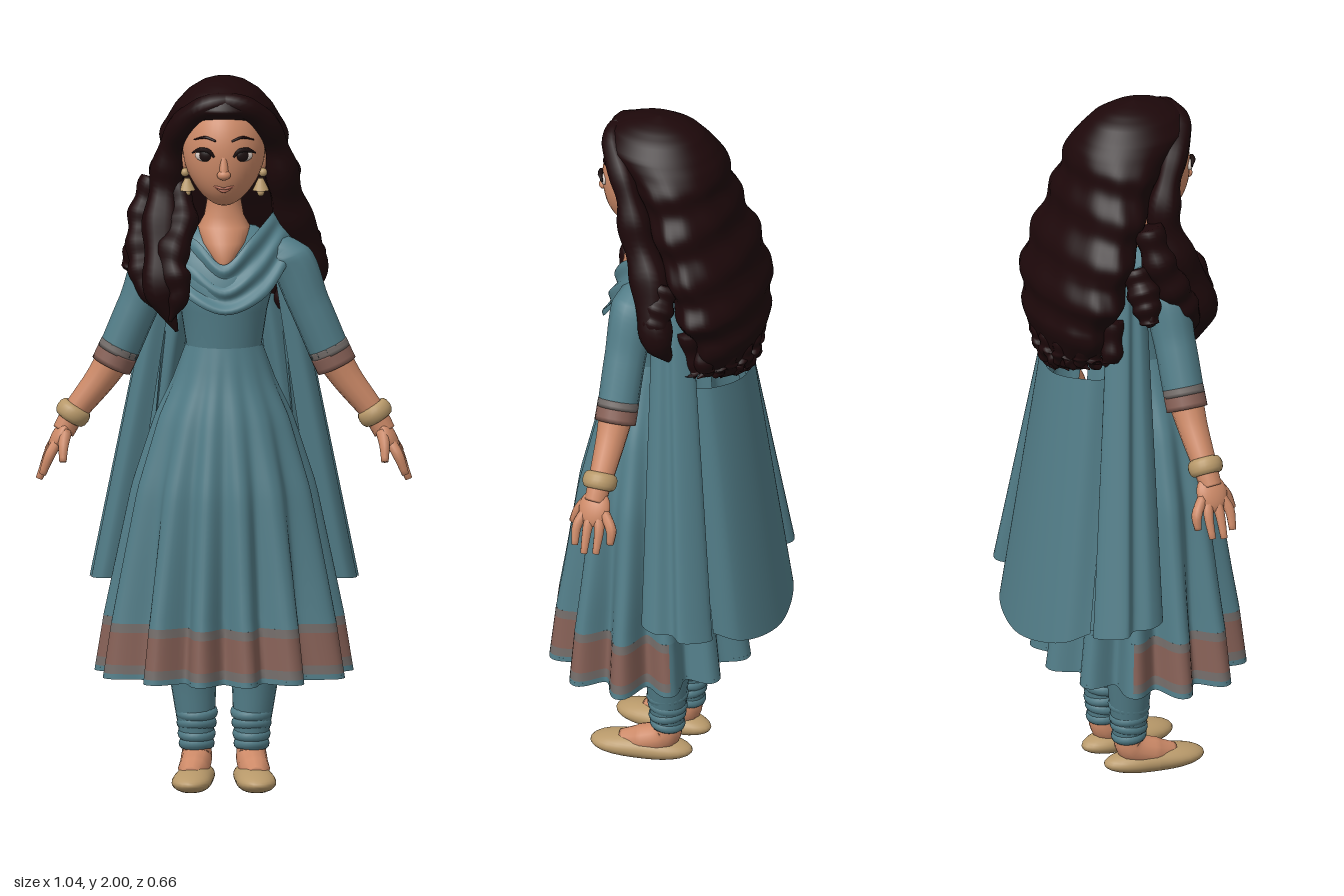
import * as THREE from 'three';

const mat = (name, color, side = THREE.FrontSide) => {
  const m = new THREE.MeshStandardMaterial({ color, side });
  m.name = name;
  return m;
};
const V = (x, y, z) => new THREE.Vector3(x, y, z);

// Skin a list of cross-sections (bottom to top, counter-clockwise from above)
function loft(rings, closed = true) {
  const n = rings[0].length, pos = [], idx = [];
  rings.forEach(r => r.forEach(p => pos.push(p.x, p.y, p.z)));
  for (let i = 0; i < rings.length - 1; i++)
    for (let j = 0; j < (closed ? n : n - 1); j++) {
      const k = (j + 1) % n, a = i * n, b = a + n;
      idx.push(a + j, a + k, b + j, a + k, b + k, b + j);
    }
  const g = new THREE.BufferGeometry();
  g.setAttribute('position', new THREE.Float32BufferAttribute(pos, 3));
  g.setIndex(idx);
  g.computeVertexNormals();
  return g;
}

// Linear lookup in a table whose first column is ascending
function sample(table, y) {
  let i = 0;
  while (i < table.length - 2 && y > table[i + 1][0]) i++;
  const a = table[i], b = table[i + 1], t = Math.min(1, Math.max(0, (y - a[0]) / (b[0] - a[0])));
  return a.map((v, k) => v + (b[k] - v) * t);
}

// Closed body from rows of [y, halfWidth, halfDepth, centreZ]
function body(rows, sides = 32) {
  const rings = rows.map(([y, w, d, z]) => Array.from({ length: sides }, (_, j) => {
    const a = j / sides * Math.PI * 2;
    return V(Math.sin(a) * w, y, z + Math.cos(a) * d);
  }));
  return loft(rings);
}

// Tapered tube along a curve, with optional ripples in its thickness
function tube(points, radii, sides = 12, seg = 24, ripple = 0) {
  const curve = new THREE.CatmullRomCurve3(points.map(p => V(...p)));
  const fr = curve.computeFrenetFrames(seg), rings = [];
  for (let i = 0; i <= seg; i++) {
    const t = i / seg, f = t * (radii.length - 1), k = Math.min(radii.length - 2, Math.floor(f));
    const r = (radii[k] + (radii[k + 1] - radii[k]) * (f - k)) * (1 + ripple * Math.sin(t * 32));
    const c = curve.getPoint(t);
    const ring = s => Array.from({ length: sides }, (_, j) => {
      const a = j / sides * Math.PI * 2;
      return c.clone().addScaledVector(fr.normals[i], Math.cos(a) * r * s).addScaledVector(fr.binormals[i], Math.sin(a) * r * s);
    });
    if (i === 0) rings.push(ring(0));
    rings.push(ring(1));
    if (i === seg) rings.push(ring(0));
  }
  return loft(rings);
}

const ball = (x, y, z, sx, sy, sz) => new THREE.SphereGeometry(1, 24, 16).scale(sx, sy, sz).translate(x, y, z);

export function createModel() {
  const root = new THREE.Group();
  const skin = mat('skin', 0xcd8a68), hair = mat('hair', 0x1d080a), gold = mat('gold', 0xb8996a);
  const cloth = mat('cloth', 0x527d88, THREE.DoubleSide), band = mat('border', 0x866056, THREE.DoubleSide);
  const trim = mat('borderEdge', 0x736c69, THREE.DoubleSide);
  const white = mat('eyeWhite', 0xd8ccc4), dark = mat('iris', 0x1c1010), lip = mat('lips', 0xb06854);
  const add = (name, geo, m) => {
    const mesh = new THREE.Mesh(geo, m);
    mesh.name = name;
    root.add(mesh);
    return mesh;
  };

  // Bodice, neck and upper chest
  add('bodice', body([[1.2, .11, .095, .055], [1.25, .105, .095, .055], [1.35, .12, .105, .06], [1.42, .138, .108, .06],
    [1.49, .155, .09, .045], [1.54, .145, .068, .035], [1.575, .09, .045, .03], [1.585, 0, 0, .03]]), cloth);
  add('neck', body([[1.47, .01, .01, .13], [1.5, .035, .04, .105], [1.54, .062, .062, .075], [1.58, .072, .055, .055],
    [1.61, .055, .05, .05], [1.65, .048, .048, .05], [1.74, .05, .05, .045]]), skin);

  // Pleated skirt with a border that fades out at the back; pleats are unevenly spaced
  const flare = [[.325, .358, .28, .048], [.48, .333, .26, .05], [.6, .308, .24, .05], [.85, .255, .2, .053],
    [1.05, .19, .148, .056], [1.15, .142, .118, .056], [1.25, .105, .097, .055]];
  const pleats = [[0, 0], [.19, .5], [.39, 1], [.6, 1.5], [.88, 2], [1.16, 2.5], [1.43, 3], [1.7, 3.5], [1.95, 4], [2.2, 4.5], [2.43, 5], [2.9, 6], [Math.PI, 6.5]];
  const skirtPoint = (y, a, k = 1) => {
    const [, w, d, z] = sample(flare, y), t = Math.min(1, (1.25 - y) / .75);
    const turn = Math.abs(Math.atan2(Math.sin(a), Math.cos(a))), wave = (1 + Math.cos(sample(pleats, turn)[1] * Math.PI * 2)) / 2;
    const r = k * (1.01 - .22 * t * Math.pow(wave, 1.3));
    return V(Math.sin(a) * w * r, y, z + Math.cos(a) * d * r);
  };
  const skirtPatch = (name, y0, y1, a0, a1, rows, m) => {
    const rings = [], n = Math.ceil((a1 - a0) * 32);
    for (let i = 0; i <= rows; i++)
      rings.push(Array.from({ length: n + 1 }, (_, j) => skirtPoint(y0 + (y1 - y0) * i / rows, a0 + (a1 - a0) * j / n)));
    add(name, loft(rings, false), m);
  };
  const A = 2.2, P = Math.PI;
  skirtPatch('skirt', .48, 1.25, -P, P, 24, cloth);
  skirtPatch('skirtBackHem', .325, .48, A, 2 * P - A, 4, cloth);
  [[.325, .34, cloth], [.34, .365, trim], [.365, .455, band], [.455, .48, trim]].forEach(([a, b, m], i) =>
    skirtPatch('hemBand' + i, a, b, -A, A, 2, m));
  add('skirtUnderside', loft([1, 0].map(k => Array.from({ length: 200 }, (_, j) => skirtPoint(.335, j / 100 * P, k)))), cloth);

  // Draped scarf across the chest
  const upper = [[-.13, 1.54, -.08], [-.14, 1.565, .0], [-.075, 1.545, .095], [.0, 1.485, .148], [.075, 1.555, .11], [.135, 1.612, .02], [.12, 1.58, -.08]];
  const lower = [[-.17, 1.42, -.09], [-.18, 1.48, .03], [-.105, 1.395, .15], [.005, 1.35, .182], [.115, 1.395, .15], [.205, 1.52, .03], [.19, 1.42, -.09]];
  const folds = [];
  for (let i = 0; i <= 24; i++) {
    const v = i / 24, c = new THREE.CatmullRomCurve3(lower.map((p, k) => V(...p).lerp(V(...upper[k]), v)));
    folds.push(c.getPoints(40).map((p, j) => {
      const mid = Math.sin(j / 40 * P);
      return p.add(V(0, -.03 * v * (1 - v) * mid, .004 + .008 * Math.sin(v * 5 * P) * mid));
    }));
  }
  add('scarfCowl', loft(folds, false), cloth);

  // Scarf hanging behind: centre panel and folded side panels
  const sheet = (name, low, high, rows = 16) => {
    const rings = [];
    for (let i = 0; i <= rows; i++)
      rings.push(new THREE.CatmullRomCurve3(low.map((p, k) => V(...p).lerp(V(...high[k]), i / rows))).getPoints(48));
    add(name, loft(rings, false), cloth);
  };
  sheet('scarfBack', [[.23, .52, -.22], [.19, .49, -.285], [0, .455, -.33], [-.19, .49, -.285], [-.23, .52, -.22]],
    [[.17, 1.25, -.12], [.14, 1.25, -.18], [0, 1.23, -.225], [-.14, 1.25, -.18], [-.17, 1.25, -.12]]);
  for (const s of [1, -1]) {
    const side = s > 0 ? 'left' : 'right';
    const m = pts => pts.map(([x, y, z]) => [x * s, y, z]);
    sheet(side + 'ScarfPanel',
      m([[.27, .57, -.07], [.34, .57, -.05], [.368, .565, -.1], [.35, .56, -.145], [.373, .555, -.178], [.3, .54, -.245], [.24, .53, -.2], [.2, .52, -.26]]),
      m([[.13, 1.5, -.01], [.16, 1.51, -.01], [.183, 1.5, -.04], [.178, 1.5, -.06], [.185, 1.5, -.08], [.15, 1.5, -.12], [.1, 1.5, -.1], [.07, 1.5, -.13]]));

    // Arms
    add(side + 'Sleeve', tube(m([[.11, 1.5, .03], [.175, 1.49, .035], [.235, 1.36, .04], [.292, 1.225, .04]]), [.05, .066, .058, .057]), cloth);
    add(side + 'CuffEdge', tube(m([[.286, 1.24, .04], [.296, 1.219, .04]]), [.0575, .0577], 20, 3), trim);
    add(side + 'Cuff', tube(m([[.294, 1.222, .04], [.312, 1.184, .04]]), [.0577, .058], 20, 4), band);
    add(side + 'Forearm', tube(m([[.29, 1.23, .04], [.34, 1.15, .04], [.42, 1.045, .042], [.445, 1.0, .045]]), [.052, .043, .033, .031]), skin);
    const bangle = add(side + 'Bangle', new THREE.TorusGeometry(.034, .015, 12, 28).scale(1, 1, 1.6), gold);
    bangle.position.set(.418 * s, 1.052, .042);
    bangle.lookAt(.5 * s, .92, .042);

    // Hand
    const palm = add(side + 'Palm', ball(0, 0, 0, .023, .054, .045), skin);
    palm.position.set(.455 * s, .985, .043);
    palm.rotation.z = .5 * s;
    [[-.018, .9, .49], [.018, .872, .508], [.052, .868, .512], [.083, .885, .503]].forEach(([z, y, x], i) =>
      add(side + 'Finger' + i, tube(m([[.458, .98, .04 + (z - .035) * .5], [.482, .94, z], [x, y, z]]), [.015, .015, .01], 8, 8), skin));
    add(side + 'Thumb', tube(m([[.44, 1.0, .065], [.445, .965, .095], [.446, .925, .112]]), [.019, .014, .01], 8, 8), skin);

    // Legs with gathered ankles, feet and shoes
    add(side + 'Leg', tube(m([[.075, .1, -.02], [.077, .16, -.02], [.085, .3, -.022], [.085, .36, -.02]]), [.044, .05, .066, .068], 20), cloth);
    [.112, .14, .17, .2].forEach((y, i) => add(side + 'AnkleFold' + i,
      new THREE.TorusGeometry(.038 + i * .003, .012, 10, 24).scale(1, 1, 1.3).rotateX(P / 2 + .24 * (i % 2 - .5)).translate(.076 * s, y, -.02), cloth));
    add(side + 'Foot', tube(m([[.075, .13, -.022], [.076, .075, -.015], [.085, .047, .05], [.092, .035, .11]]), [.037, .043, .043, .03]), skin);
    const shoe = new THREE.SphereGeometry(1, 28, 20), p = shoe.attributes.position;
    for (let i = 0; i < p.count; i++) {
      const z = p.getZ(i), waist = 1 - .12 * Math.cos(z * 3);
      p.setXYZ(i, p.getX(i) * .06 * waist * (1 + .12 * z), Math.max(-.027, p.getY(i) * .036), z * .146);
    }
    shoe.computeVertexNormals();
    const shoeMesh = add(side + 'Shoe', shoe, gold);
    shoeMesh.position.set(.082 * s, .027, .055);
    shoeMesh.rotation.y = .12 * s;

    // Eyes, brows, ears and earrings
    const eye = new THREE.Group();
    eye.name = side + 'Eye';
    eye.position.set(.053 * s, 1.798, .178);
    eye.rotation.y = .3 * s;
    [[ball(0, 0, 0, .028, .017, .011), white], [ball(-.003 * s, .001, .006, .018, .017, .008), dark],
      [tube([[-.03, -.002, .008], [-.015, .015, .011], [.012, .017, .011], [.036, .006, .003]].map(q => [q[0] * s, q[1], q[2]]), [.003, .006, .007, .002], 6, 12), dark]]
      .forEach(([g, mt], i) => {
        const mesh = new THREE.Mesh(g, mt);
        mesh.name = ['eyeball', 'iris', 'lashes'][i];
        eye.add(mesh);
      });
    root.add(eye);
    add(side + 'Brow', tube(m([[.022, 1.84, .191], [.05, 1.849, .18], [.083, 1.838, .151]]), [.003, .004, .002], 6, 12), hair);
    add(side + 'Ear', ball(.106 * s, 1.765, .05, .016, .035, .024), skin);
    add(side + 'EarStud', ball(.108 * s, 1.732, .07, .012, .012, .012), gold);
    add(side + 'EarDrop', new THREE.CylinderGeometry(.007, .023, .034, 16).translate(.102 * s, 1.7, .075), gold);
    add(side + 'EarBead', ball(.102 * s, 1.677, .075, .01, .011, .01), gold);
  }

  // Head with a narrowed jaw and forward chin
  const head = new THREE.SphereGeometry(1, 40, 32), hp = head.attributes.position;
  for (let i = 0; i < hp.count; i++) {
    const y = hp.getY(i), t = Math.max(0, -y);
    hp.setXYZ(i, hp.getX(i) * .114 * (1 - .18 * t * t), 1.8 + y * .155, .068 + hp.getZ(i) * .13 + .03 * t * t);
  }
  head.computeVertexNormals();
  add('head', head, skin);
  add('noseBridge', tube([[0, 1.8, .187], [0, 1.765, .196], [0, 1.748, .2]], [.009, .012, .013], 10, 10), skin);
  add('noseTip', ball(0, 1.746, .2, .019, .014, .015), skin);
  add('upperLip', tube([[-.034, 1.714, .173], [-.012, 1.708, .186], [0, 1.706, .188], [.012, 1.708, .186], [.034, 1.714, .173]], [.002, .004, .003, .004, .002], 8, 16), lip);
  add('lowerLip', tube([[-.026, 1.709, .176], [0, 1.699, .187], [.026, 1.709, .176]], [.002, .005, .002], 8, 16), lip);

  // Main hair mass, rows of [y, halfWidth, backZ, frontZ], with horizontal waves
  const mane = [[1.27, .11, -.235, -.13], [1.33, .165, -.255, -.1], [1.4, .2, -.268, -.08], [1.48, .232, -.265, -.05],
    [1.56, .23, -.248, -.03], [1.65, .215, -.215, .01], [1.72, .2, -.186, .035], [1.8, .18, -.167, .07], [1.85, .166, -.155, .1],
    [1.89, .152, -.145, .16], [1.92, .135, -.125, .195], [1.96, .1, -.088, .172], [1.985, .06, -.04, .12], [1.997, .02, .01, .06], [2, 0, .035, .035]];
  const rings = [];
  for (let i = 0; i <= 90; i++) {
    const y = 1.27 + .73 * i / 90, [, w, zb, zf] = sample(mane, y);
    rings.push(Array.from({ length: 64 }, (_, j) => {
      const a = j / 32 * P, fade = Math.min(1, Math.max(0, (1.92 - y) / .1));
      const r = 1 + fade * (.05 * Math.sin(y * 52 + 1.2 * Math.cos(a)) + .012 * Math.sin(a * 11 + y * 20));
      return V(Math.sin(a) * w * r, y, (zb + zf) / 2 + Math.cos(a) * (zf - zb) / 2 * (Math.cos(a) < 0 ? r : 1));
    }));
  }
  rings.unshift(rings[0].map(() => V(0, 1.29, -.18)));
  add('hair', loft(rings), hair);

  // Locks framing the face and falling over the shoulders
  const lock = (name, pts, radii) => add(name, tube(pts, radii, 12, 48, .1), hair);
  lock('leftFringe', [[-.02, 1.95, .155], [.065, 1.925, .148], [.12, 1.865, .1], [.15, 1.79, .062], [.165, 1.7, .035], [.19, 1.6, -.01], [.23, 1.5, -.04], [.24, 1.42, -.06], [.18, 1.33, -.08]],
    [.02, .035, .034, .038, .048, .052, .05, .04, .005]);
  lock('rightFringe', [[.03, 1.95, .155], [-.06, 1.925, .148], [-.12, 1.865, .1], [-.15, 1.79, .062], [-.16, 1.7, .045], [-.17, 1.6, .07], [-.17, 1.5, .12], [-.17, 1.4, .155], [-.13, 1.3, .16]],
    [.02, .035, .034, .038, .048, .053, .056, .046, .004]);
  lock('rightInnerLock', [[-.13, 1.7, .04], [-.115, 1.6, .09], [-.145, 1.5, .15], [-.125, 1.41, .175], [-.15, 1.33, .175]], [.03, .042, .045, .035, .004]);
  lock('rightOuterLock', [[-.19, 1.7, -.02], [-.22, 1.6, .0], [-.225, 1.5, .05], [-.21, 1.42, .09], [-.16, 1.33, .12]], [.04, .045, .045, .042, .004]);
  for (const s of [1, -1])
    lock('flick', [[.19 * s, 1.58, -.06], [.235 * s, 1.5, -.05], [.262 * s, 1.44, -.05], [.275 * s, 1.49, -.05]], [.04, .045, .022, .003]);

  // Pointed curls along the lower edge at the back
  for (let i = -6; i <= 6; i++) {
    const x = i * .03, z = -.235 + .1 * (i / 6) ** 2, d = i % 2 ? .015 : -.012;
    lock('curl', [[x, 1.4 + Math.abs(i) * .006, z + .01], [x + d, 1.32, z], [x - d, 1.27 + Math.abs(i) * .006, z], [x + d, 1.235 + Math.abs(i) * .01, z + .02]], [.03, .028, .018, .002]);
  }
  return root;
}
